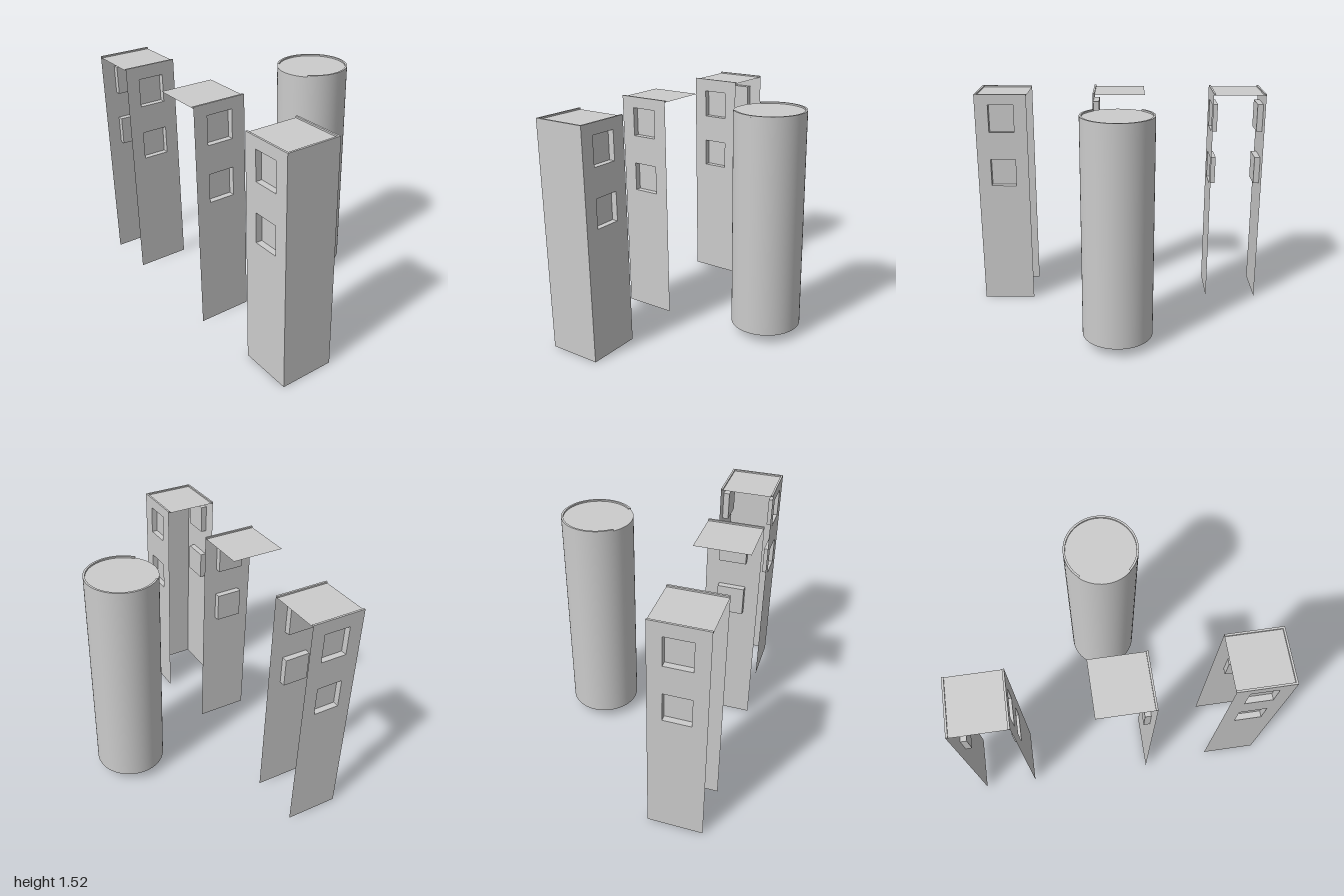
import * as THREE from 'three';
import { toCreasedNormals } from 'three/addons/utils/BufferGeometryUtils.js';

const SIDE = 0.358;                     // tower footprint
const TOP = 1.52, ROOF = 1.51;          // rim top and roof level
const RIM = 0.013;                      // rim width
const WIN = { w: 0.175, h: 0.192, d: 0.04 };

const material = new THREE.MeshStandardMaterial({ color: 0xcccccc, side: THREE.DoubleSide });

function add(parent, name, geometry, x = 0, y = 0, z = 0) {
  const mesh = new THREE.Mesh(geometry, material);
  mesh.name = name;
  mesh.position.set(x, y, z);
  parent.add(mesh);
  return mesh;
}

function rectangle(path, x0, y0, x1, y1) {
  path.moveTo(x0, y0);
  path.lineTo(x1, y0);
  path.lineTo(x1, y1);
  path.lineTo(x0, y1);
  path.closePath();
  return path;
}

// Box without its front face, lining a window opening
function recessGeometry() {
  const box = new THREE.BoxGeometry(WIN.w, WIN.h, WIN.d);
  const index = Array.from(box.index.array);
  index.splice(24, 6);
  box.setIndex(index);
  box.clearGroups();
  return box;
}

// Thin wall facing +z, with cut windows, recesses and a raised rim
function makeWall(windowHeights) {
  const wall = new THREE.Group();
  wall.name = 'wall';
  const shape = rectangle(new THREE.Shape(), -SIDE / 2, 0, SIDE / 2, ROOF);
  for (const y of windowHeights) {
    shape.holes.push(rectangle(new THREE.Path(), -WIN.w / 2, y - WIN.h / 2, WIN.w / 2, y + WIN.h / 2));
    add(wall, 'windowRecess', recessGeometry(), 0, y, -WIN.d / 2);
  }
  add(wall, 'wallPanel', new THREE.ShapeGeometry(shape));
  add(wall, 'roofRim', new THREE.BoxGeometry(SIDE, TOP - ROOF, RIM), 0, (TOP + ROOF) / 2, -RIM / 2);
  return wall;
}

// Tower: flat roof plus the listed walls, each turned about the tower axis
function makeTower(name, x, z, walls) {
  const tower = new THREE.Group();
  tower.name = name;
  tower.position.set(x, 0, z);
  add(tower, 'roof', new THREE.PlaneGeometry(SIDE, SIDE).rotateX(-Math.PI / 2), 0, ROOF, 0);
  for (const { angle, windows } of walls) {
    const wall = makeWall(windows);
    wall.rotation.y = angle;
    wall.position.set(Math.sin(angle) * SIDE / 2, 0, Math.cos(angle) * SIDE / 2);
    tower.add(wall);
  }
  return tower;
}

// Round tower, open below, with a rim that breaks off at the front
function makeRoundTower() {
  const tower = new THREE.Group();
  tower.name = 'roundTower';
  tower.position.set(0.01, 0, -0.408);
  const r = 0.231, base = 0.065, inner = r - RIM, gap = 0.74;
  add(tower, 'roundWall', new THREE.CylinderGeometry(r, r, ROOF - base, 64, 1, true), 0, (ROOF + base) / 2, 0);
  add(tower, 'roundRoof', new THREE.CircleGeometry(r, 64).rotateX(-Math.PI / 2), 0, ROOF, 0);
  const profile = [[r, ROOF], [r, TOP], [inner, TOP], [inner, ROOF]].map(([a, b]) => new THREE.Vector2(a, b));
  const rim = new THREE.LatheGeometry(profile, 56, gap, Math.PI * 2 - gap * 2);
  add(tower, 'roundRim', toCreasedNormals(rim, 0.6));
  return tower;
}

export function createModel() {
  const model = new THREE.Group();
  model.name = 'towerSet';
  const high = [0.965, 1.35], low = [0.952, 1.335];
  const q = Math.PI / 2;

  // Two facing walls
  model.add(makeTower('twoWallTower', -0.821, 0.45, [
    { angle: q, windows: low }, { angle: -q, windows: low },
  ]));
  // Single wall
  model.add(makeTower('oneWallTower', 0.01, 0.459, [{ angle: q, windows: high }]));
  // Windowed front and back, plain outer side
  model.add(makeTower('threeWallTower', 0.821, 0.422, [
    { angle: 0, windows: high }, { angle: Math.PI, windows: high }, { angle: q, windows: [] },
  ]));
  model.add(makeRoundTower());
  return model;
}
